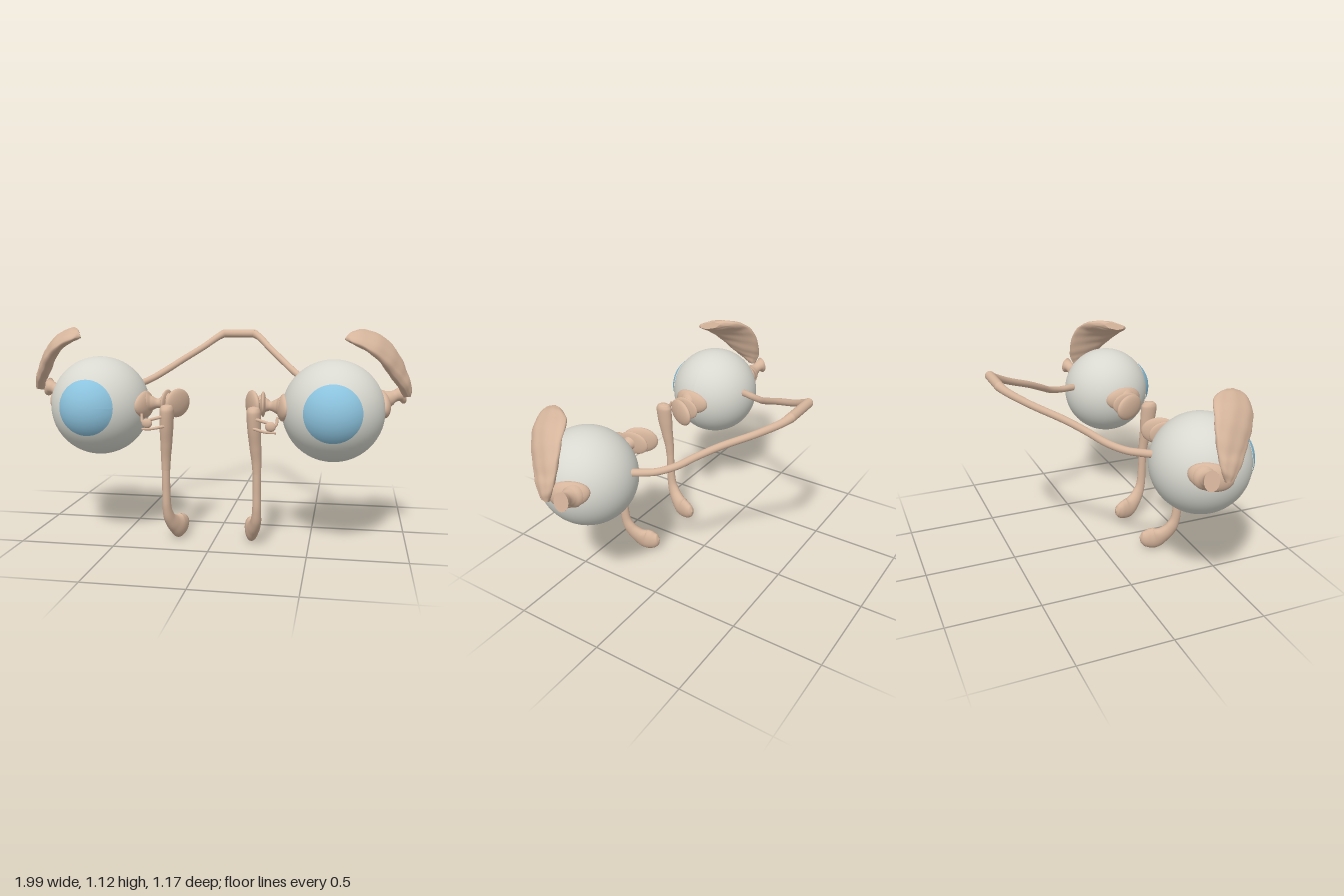
import * as THREE from 'three';

const V = (x, y, z) => new THREE.Vector3(x, y, z);
const EYE = V(0.61, 0.717, 0.31), R = 0.258;

// Closed skin over a list of equal-length rings (ends fan to their centres)
function loft(rings) {
  const n = rings[0].length, pos = [], idx = [];
  rings.forEach(r => r.forEach(p => pos.push(p.x, p.y, p.z)));
  for (let i = 0; i < rings.length - 1; i++) {
    for (let j = 0; j < n; j++) {
      const a = i * n + j, b = i * n + (j + 1) % n;
      idx.push(a, b, a + n, b, b + n, a + n);
    }
  }
  [0, rings.length - 1].forEach((k, end) => {
    const c = V(0, 0, 0);
    rings[k].forEach(p => c.addScaledVector(p, 1 / n));
    const base = pos.length / 3;
    rings[k].forEach(p => pos.push(p.x, p.y, p.z));
    pos.push(c.x, c.y, c.z);
    for (let j = 0; j < n; j++) {
      const a = base + j, b = base + (j + 1) % n;
      if (end) idx.push(a, b, base + n); else idx.push(b, a, base + n);
    }
  });
  const g = new THREE.BufferGeometry();
  g.setAttribute('position', new THREE.Float32BufferAttribute(pos, 3));
  g.setIndex(idx);
  g.computeVertexNormals();
  return g;
}

// Elliptical sweep through stations [x, y, z, radius along ref, other radius]
function sweep(stations, ref, steps = 40, sides = 20) {
  const path = new THREE.CatmullRomCurve3(stations.map(s => V(s[0], s[1], s[2])), false, 'centripetal');
  const size = new THREE.CatmullRomCurve3(stations.map(s => V(s[3], s[4] ?? s[3], 0)), false, 'catmullrom', 0.3);
  const rings = [];
  for (let i = 0; i <= steps; i++) {
    const t = i / steps, c = path.getPoint(t), s = size.getPoint(t), d = path.getTangent(t);
    const u = ref.clone().addScaledVector(d, -ref.dot(d)).normalize();
    const v = d.clone().cross(u);
    rings.push(Array.from({ length: sides }, (_, j) => {
      const a = j / sides * Math.PI * 2;
      return c.clone().addScaledVector(u, Math.cos(a) * s.x).addScaledVector(v, Math.sin(a) * s.y);
    }));
  }
  return loft(rings);
}

// Oval pad wrapped over the eyeball around a given point
function eyePad(point, a, b, thick, tilt) {
  const g = new THREE.SphereGeometry(1, 32, 20), p = g.attributes.position;
  const dir = point.clone().sub(EYE).normalize();
  const u = V(0, 1, 0).cross(dir).normalize().applyAxisAngle(dir, tilt), v = dir.clone().cross(u);
  for (let i = 0; i < p.count; i++) {
    const q = dir.clone().multiplyScalar(R).addScaledVector(u, a * p.getX(i)).addScaledVector(v, b * p.getY(i));
    q.setLength(R + thick * p.getZ(i)).add(EYE);
    p.setXYZ(i, q.x, q.y, q.z);
  }
  g.computeVertexNormals();
  return g;
}

// Flattened ellipsoid turned about the vertical
function petal(x, y, z, sx, sy, sz, turn) {
  return new THREE.SphereGeometry(1, 28, 18).scale(sx, sy, sz).rotateY(turn).translate(x, y, z);
}

// Curved gland blade lofted between its front and back edges
function glandBlade() {
  const front = new THREE.CatmullRomCurve3([V(0.66, 1.085, 0.45), V(0.69, 1.075, 0.48), V(0.77, 1.035, 0.475),
    V(0.84, 0.975, 0.435), V(0.89, 0.91, 0.385), V(0.935, 0.85, 0.335), V(0.968, 0.79, 0.275)]);
  const back = new THREE.CatmullRomCurve3([V(0.71, 1.11, 0.34), V(0.77, 1.11, 0.265), V(0.86, 1.065, 0.222),
    V(0.92, 0.99, 0.2), V(0.96, 0.9, 0.198), V(0.982, 0.84, 0.207), V(0.98, 0.785, 0.23)]);
  const rings = [], steps = 40, sides = 32;
  for (let i = 0; i <= steps; i++) {
    const t = i / steps, f = front.getPoint(t), b = back.getPoint(t);
    const c = f.clone().add(b).multiplyScalar(0.5), w = f.clone().sub(b).multiplyScalar(0.5);
    const d = front.getTangent(t).add(back.getTangent(t)).normalize();
    const n = d.clone().cross(w).normalize();
    const thick = 0.008 + 0.026 * Math.pow(Math.sin(Math.PI * (0.04 + 0.92 * t)), 0.45);
    rings.push(Array.from({ length: sides }, (_, j) => {
      const a = j / sides * Math.PI * 2;
      const bump = 0.0025 * Math.sin(t * 27 + a * 2) * Math.cos(a * 5 - t * 13);
      return c.clone().addScaledVector(w, Math.cos(a)).addScaledVector(n, Math.sin(a) * thick + bump);
    }));
  }
  return loft(rings);
}

// Mirror image across x = 0 with corner order kept outward
function mirrored(geometry) {
  const g = geometry.clone().scale(-1, 1, 1), ix = g.index;
  for (let i = 0; i < ix.count; i += 3) {
    const b = ix.getX(i + 1);
    ix.setX(i + 1, ix.getX(i + 2));
    ix.setX(i + 2, b);
  }
  g.computeVertexNormals();
  return g;
}

export function createModel() {
  const mat = (name, color) => Object.assign(new THREE.MeshStandardMaterial({ color }), { name });
  const white = mat('eyeWhite', 0xd8d8d0), blue = mat('irisBlue', 0x8cc3de), flesh = mat('flesh', 0xd6b59c);
  const model = new THREE.Group();
  model.name = 'eyesAndTearGlands';
  const up = V(0, 1, 0), side = V(1, 0, 0), depth = V(0, 0, 1);
  const parts = [];
  const add = (name, geometry, material = flesh) => parts.push([name, geometry, material]);

  // Eyeball and the slightly domed iris
  add('eyeball', new THREE.SphereGeometry(R, 56, 40).translate(EYE.x, EYE.y, EYE.z), white);
  const capR = 0.19, rim = 0.142;
  const dome = new THREE.SphereGeometry(capR, 48, 14, 0, Math.PI * 2, 0, Math.asin(rim / capR));
  dome.translate(0, -Math.sqrt(capR * capR - rim * rim) + 0.218, 0);
  dome.rotateX(Math.PI / 2 - 0.07).rotateY(0.02).translate(EYE.x, EYE.y, EYE.z);
  add('iris', dome, blue);

  // Optic nerve running back and inward
  add('opticNerve', sweep([[0.56, 0.775, 0.09, 0.02], [0.535, 0.782, 0.03, 0.02], [0.5, 0.792, -0.04, 0.019],
    [0.44, 0.82, -0.12, 0.019], [0.37, 0.865, -0.195, 0.019], [0.3, 0.915, -0.285, 0.019],
    [0.2, 0.985, -0.435, 0.019], [0.13, 1.04, -0.532, 0.021], [0.095, 1.06, -0.557, 0.025]], up, 48, 18));
  add('nerveBend', new THREE.SphereGeometry(0.025, 18, 12).translate(0.095, 1.06, -0.557));

  // Tear gland above the outer side
  add('tearGland', glandBlade());

  // Outer tendon: pad on the eye, narrow neck and flared flat end
  add('outerPad', eyePad(V(0.856, 0.753, 0.235), 0.128, 0.07, 0.032, 0.25));
  add('outerNeck', sweep([[0.85, 0.76, 0.2, 0.06], [0.885, 0.77, 0.195, 0.042], [0.915, 0.782, 0.185, 0.03],
    [0.94, 0.79, 0.178, 0.035], [0.955, 0.792, 0.172, 0.05, 0.036], [0.96, 0.793, 0.17, 0.05, 0.036]], up, 30));

  // Inner tendon: pad, neck and two rounded plates
  add('innerPad', eyePad(V(0.355, 0.73, 0.33), 0.125, 0.072, 0.026, 0));
  add('innerNeck', sweep([[0.355, 0.735, 0.33, 0.06], [0.33, 0.735, 0.325, 0.04], [0.295, 0.735, 0.32, 0.024],
    [0.265, 0.738, 0.315, 0.038], [0.235, 0.74, 0.31, 0.05]], up, 30));
  add('innerPlate', petal(0.253, 0.74, 0.295, 0.016, 0.065, 0.09, 0.1));
  add('innerDisc', petal(0.198, 0.735, 0.29, 0.026, 0.075, 0.1, 0.42));

  // Small tear canals joining the duct
  add('upperCanal', sweep([[0.345, 0.7, 0.46, 0.007], [0.335, 0.66, 0.475, 0.008], [0.29, 0.675, 0.478, 0.008],
    [0.225, 0.69, 0.46, 0.008]], up, 24, 10));
  add('lowerCanal', sweep([[0.34, 0.625, 0.48, 0.006], [0.29, 0.628, 0.485, 0.007], [0.225, 0.64, 0.465, 0.008]], up, 20, 10));
  add('canalBulb', petal(0.312, 0.655, 0.482, 0.027, 0.025, 0.015, 0));

  // Tear sac and the long duct with its turned-back foot
  add('tearSac', sweep([[0.222, 0.745, 0.43, 0.008], [0.222, 0.738, 0.43, 0.028, 0.034], [0.222, 0.715, 0.43, 0.036, 0.048],
    [0.225, 0.64, 0.425, 0.035, 0.046], [0.23, 0.54, 0.414, 0.03, 0.035], [0.235, 0.46, 0.405, 0.025, 0.028],
    [0.237, 0.4, 0.402, 0.022, 0.025]], side));
  add('tearDuct', sweep([[0.237, 0.4, 0.402, 0.021, 0.024], [0.237, 0.3, 0.4, 0.021, 0.024], [0.236, 0.2, 0.394, 0.023, 0.028],
    [0.23, 0.14, 0.372, 0.028, 0.037], [0.215, 0.096, 0.335, 0.033, 0.047], [0.198, 0.07, 0.29, 0.035, 0.064],
    [0.186, 0.07, 0.245, 0.032, 0.057], [0.178, 0.075, 0.213, 0.022, 0.036], [0.175, 0.077, 0.2, 0.004, 0.006]], side, 56));

  // Both sides
  const left = new THREE.Group(), right = new THREE.Group();
  left.name = 'leftSide';
  right.name = 'rightSide';
  for (const [name, geometry, material] of parts) {
    [[left, geometry], [right, mirrored(geometry)]].forEach(([group, g]) => {
      const mesh = new THREE.Mesh(g, material);
      mesh.name = name;
      group.add(mesh);
    });
  }

  // Bridge joining the two nerves
  const bridge = new THREE.Mesh(new THREE.CylinderGeometry(0.025, 0.025, 0.19, 18).rotateZ(Math.PI / 2), flesh);
  bridge.name = 'nerveBridge';
  bridge.position.set(0, 1.06, -0.557);
  model.add(left, right, bridge);
  return model;
}
